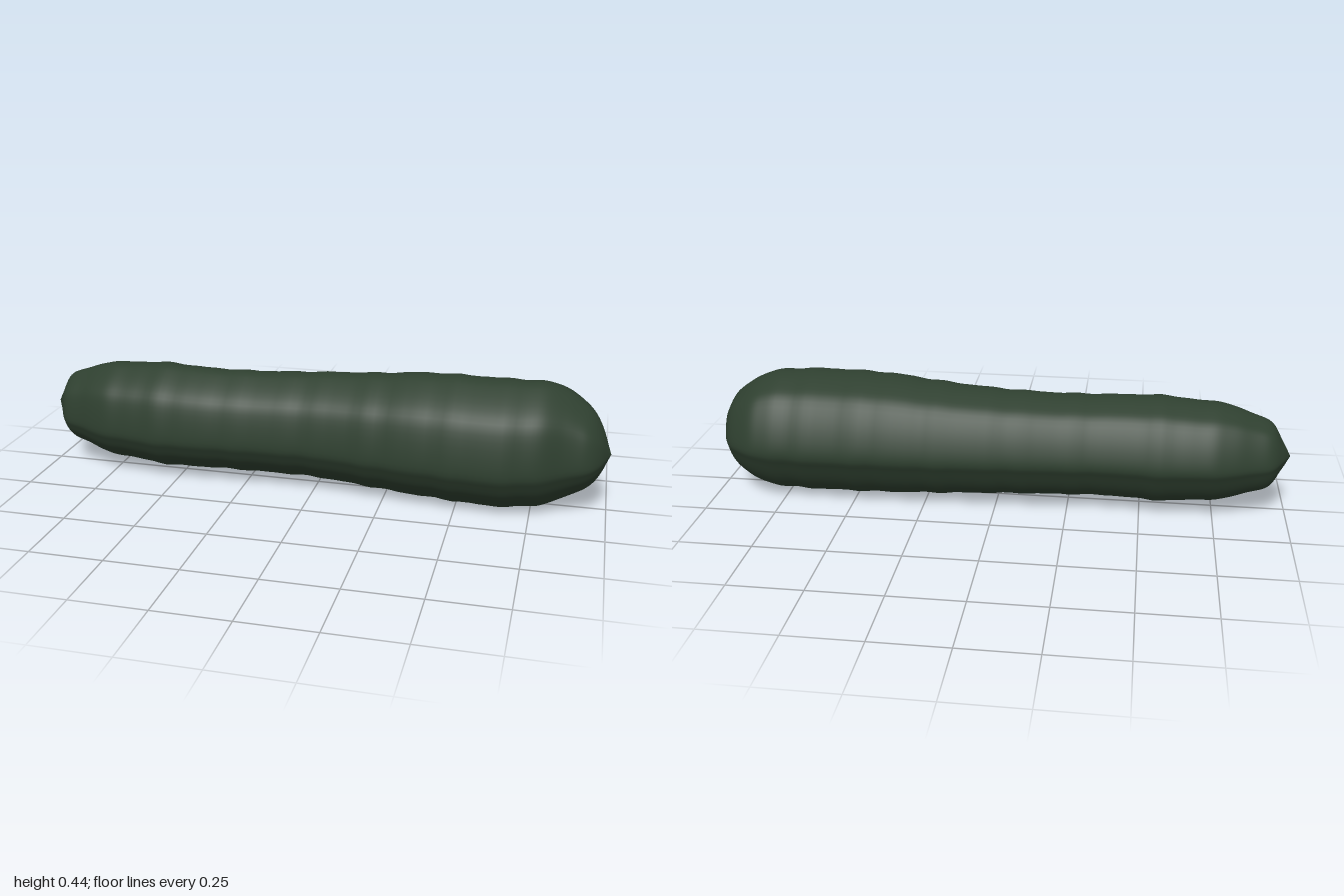
import * as THREE from 'three';

// Stations along the body: x, top, bottom, back z, front z
const STATIONS = [
  [-1, 0.215, 0.215, -0.03, -0.03],
  [-0.97, 0.27, 0.165, -0.08, 0.02],
  [-0.93, 0.33, 0.10, -0.12, 0.08],
  [-0.85, 0.36, 0.075, -0.145, 0.11],
  [-0.78, 0.385, 0.05, -0.17, 0.14],
  [-0.7, 0.39, 0.045, -0.18, 0.15],
  [-0.56, 0.40, 0.032, -0.185, 0.165],
  [-0.4, 0.394, 0.037, -0.175, 0.165],
  [-0.2, 0.394, 0.036, -0.185, 0.155],
  [0, 0.404, 0.032, -0.20, 0.153],
  [0.2, 0.418, 0.02, -0.21, 0.175],
  [0.4, 0.436, 0.01, -0.218, 0.20],
  [0.63, 0.438, 0.004, -0.215, 0.213],
  [0.77, 0.434, 0.014, -0.215, 0.185],
  [0.85, 0.41, 0.04, -0.205, 0.15],
  [0.92, 0.36, 0.08, -0.16, 0.125],
  [0.965, 0.30, 0.13, -0.09, 0.09],
  [1, 0.212, 0.212, 0.03, 0.03],
];

// Lobed outline (z, y), starting at the top and turning toward the front
const OUTLINE = [
  [0.01, 0.437], [0.08, 0.412], [0.165, 0.35], [0.2, 0.28], [0.218, 0.17],
  [0.2, 0.12], [0.16, 0.065], [0.075, 0.005], [0, 0.01], [-0.1, 0.027],
  [-0.16, 0.08], [-0.2, 0.15], [-0.218, 0.2], [-0.19, 0.29], [-0.14, 0.37], [-0.08, 0.408],
];

function createBodyGeometry(rings, sides) {
  const curve = (points, closed) => new THREE.CatmullRomCurve3(points, closed, 'catmullrom', 0.5);
  const heights = curve(STATIONS.map(([x, top, bottom]) => new THREE.Vector3(x, top, bottom)), false);
  const depths = curve(STATIONS.map(([x, , , back, front]) => new THREE.Vector3(x, back, front)), false);
  const outline = curve(OUTLINE.map(([z, y]) => new THREE.Vector3(z / 0.218, (y - 0.221) / 0.216, 0)), true);
  const section = Array.from({ length: sides }, (_, j) => outline.getPoint(j / sides));

  const positions = [], index = [];
  for (let i = 0; i <= rings; i++) {
    const h = heights.getPoint(i / rings), d = depths.getPoint(i / rings);
    // Faint growth rings
    const ripple = 1 + 0.008 * Math.sin(h.x * 42) + 0.005 * Math.sin(h.x * 67 + 1);
    for (let j = 0; j < sides; j++) {
      const p = section[j];
      positions.push(
        h.x,
        (h.y + h.z) / 2 + p.y * ripple * (h.y - h.z) / 2,
        (d.y + d.z) / 2 + p.x * ripple * (d.z - d.y) / 2,
      );
      if (i === rings) continue;
      const a = i * sides + j, b = i * sides + (j + 1) % sides;
      index.push(a, b, a + sides, b, b + sides, a + sides);
    }
  }
  const geometry = new THREE.BufferGeometry();
  geometry.setAttribute('position', new THREE.Float32BufferAttribute(positions, 3));
  geometry.setIndex(index);
  geometry.computeVertexNormals();
  return geometry;
}

export function createModel() {
  const group = new THREE.Group();
  group.name = 'cucumber';
  const darkGreen = new THREE.MeshStandardMaterial({ color: 0x2e3f2f });
  darkGreen.name = 'dark green';
  const body = new THREE.Mesh(createBodyGeometry(136, 64), darkGreen);
  body.name = 'body';
  group.add(body);
  return group;
}
